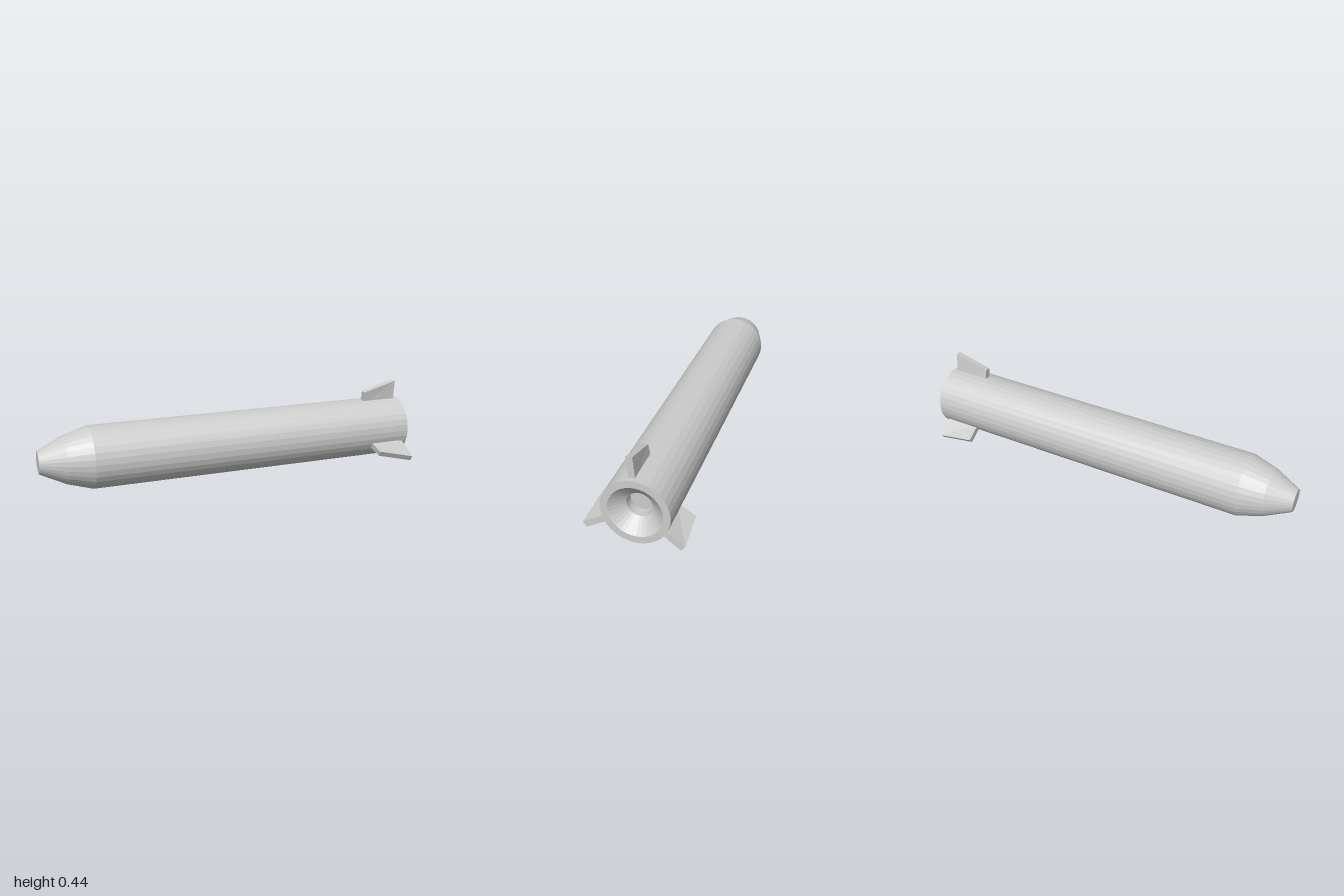
import * as THREE from 'three';

const AXIS_Y = 0.182, AXIS_Z = -0.02; // centre line of the body

// Fin between base and tip centre points given as [y, z]; the leading edge is shorter than the trailing one
function makeFin(name, material, base, rearTip, frontTip) {
  const dy = rearTip[0] - base[0], dz = rearTip[1] - base[1];
  const len = Math.hypot(dy, dz), half = 0.0155;
  const sy = dy / len, sz = dz / len;
  const root = [base[0] - sy * 0.02, base[1] - sz * 0.02]; // sunk into the body
  const box = new THREE.BoxGeometry(2, 2, 2);
  const p = box.attributes.position;
  for (let i = 0; i < p.count; i++) {
    const rear = p.getX(i) > 0, outer = p.getY(i) > 0, side = p.getZ(i) * half;
    const c = outer ? (rear ? rearTip : frontTip) : root;
    p.setXYZ(i, rear ? 0.975 : 0.785, c[0] - sz * side, c[1] + sy * side);
  }
  const geometry = box.toNonIndexed();
  geometry.computeVertexNormals();
  const fin = new THREE.Mesh(geometry, material);
  fin.name = name;
  return fin;
}

export function createModel() {
  const group = new THREE.Group();
  group.name = 'rocket';
  const material = new THREE.MeshStandardMaterial({ color: 0xcccccc, flatShading: true });

  // Body: blunt nose, long tube, rear rim, and a funnel with a short throat
  const profile = [
    [0, -1], [0.058, -1], [0.122, -0.87], [0.16, -0.745], [0.16, 1],
    [0.126, 1], [0.06, 0.94], [0.06, 0.89], [0, 0.89],
  ].map(([r, h]) => new THREE.Vector2(r, h));
  const bodyGeometry = new THREE.LatheGeometry(profile, 32);
  bodyGeometry.rotateZ(-Math.PI / 2);
  const body = new THREE.Mesh(bodyGeometry, material);
  body.name = 'body';
  body.position.set(0, AXIS_Y, AXIS_Z);
  group.add(body);

  // Three slightly twisted tail fins
  group.add(
    makeFin('topFin', material, [0.34, -0.004], [0.442, 0.005], [0.39, 0.005]),
    makeFin('frontFin', material, [0.108, 0.119], [0.0485, 0.229], [0.0905, 0.208]),
    makeFin('backFin', material, [0.08, -0.144], [0.015, -0.2245], [0.041, -0.2165]),
  );
  return group;
}
